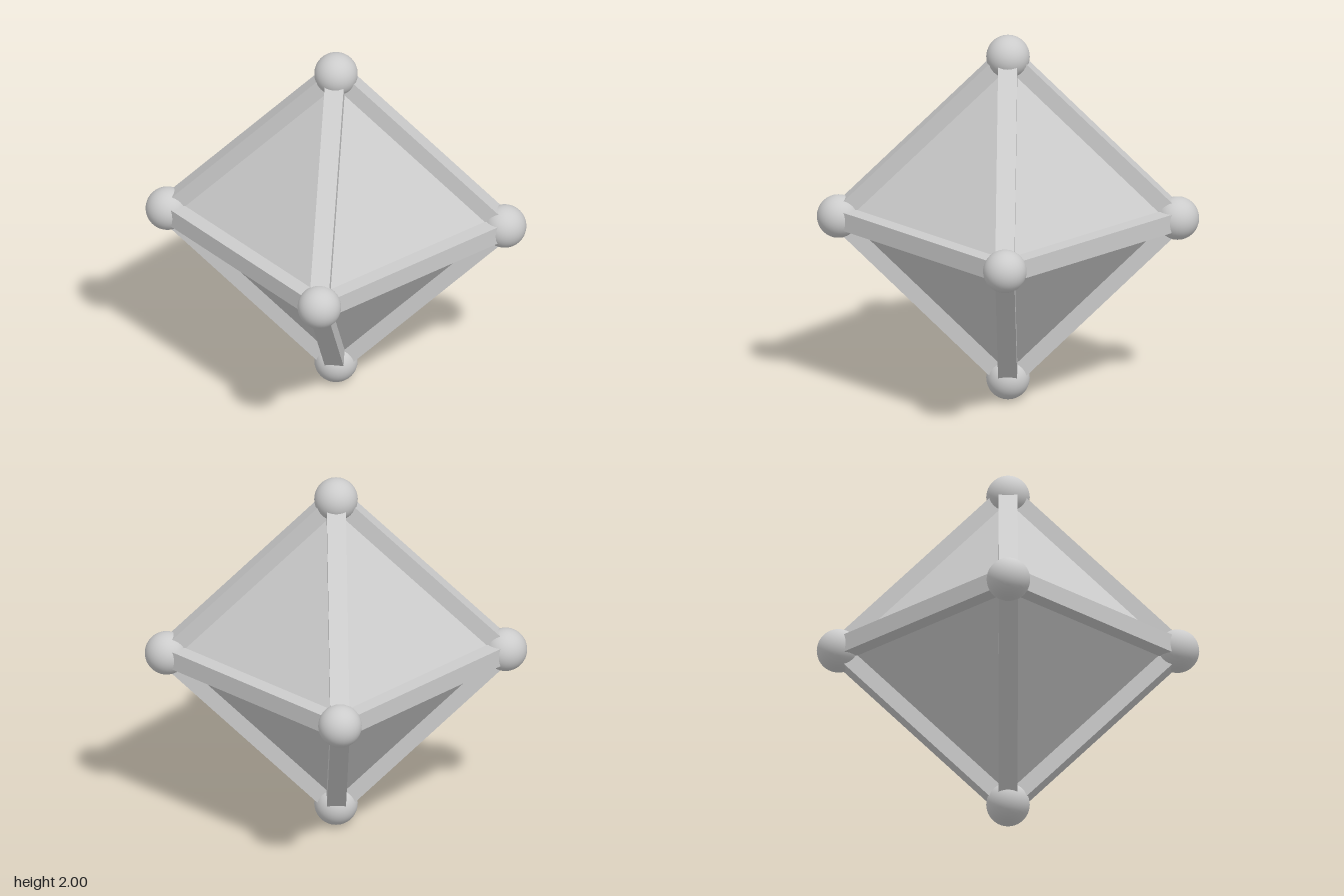
import * as THREE from 'three';

const BALL = 0.114;        // corner ball radius
const REACH = 1 - BALL;    // centre to corner
const BAR = 0.1;           // square bar thickness

export function createModel() {
  const model = new THREE.Group();
  model.name = 'octahedronFrame';
  const material = new THREE.MeshStandardMaterial({ color: 0xcccccc });
  const flat = new THREE.MeshStandardMaterial({ color: 0xcccccc, flatShading: true });

  const add = (geometry, mat, name) => {
    const mesh = new THREE.Mesh(geometry, mat);
    mesh.name = name;
    model.add(mesh);
    return mesh;
  };

  // Triangular panels
  add(new THREE.OctahedronGeometry(REACH), flat, 'panels');

  // Balls on the six corners
  const corners = [];
  for (const axis of [0, 1, 2]) {
    for (const sign of [1, -1]) {
      corners.push(new THREE.Vector3().setComponent(axis, sign * REACH));
    }
  }
  const ball = new THREE.SphereGeometry(BALL, 32, 24);
  corners.forEach((p) => add(ball, material, 'cornerBall').position.copy(p));

  // Square bars along the twelve edges, one face turned outward
  const bar = new THREE.BoxGeometry(REACH * Math.SQRT2, BAR, BAR);
  corners.forEach((a, i) => corners.slice(i + 1).forEach((b) => {
    if (a.dot(b) !== 0) return; // skip opposite corners
    const along = b.clone().sub(a).normalize();
    const outward = a.clone().add(b).normalize();
    const side = along.clone().cross(outward);
    const mesh = add(bar, flat, 'edgeBar');
    mesh.quaternion.setFromRotationMatrix(new THREE.Matrix4().makeBasis(along, outward, side));
    mesh.position.copy(a).add(b).multiplyScalar(0.5);
  }));

  model.children.forEach((mesh) => { mesh.position.y += 1; });
  return model;
}
